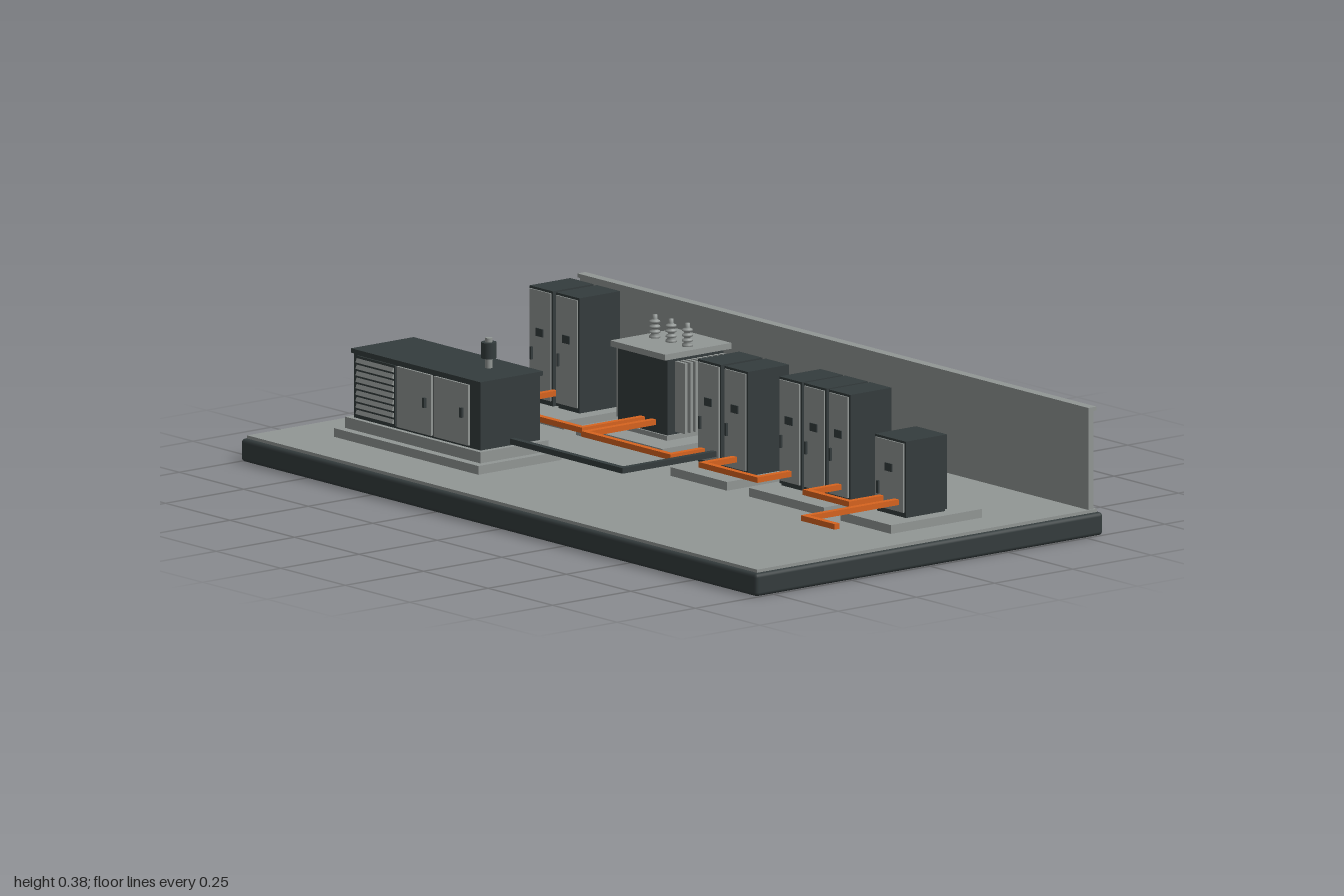
import * as THREE from 'three';
import { RoundedBoxGeometry } from 'three/addons/geometries/RoundedBoxGeometry.js';

const mat = (name, color) => {
  const m = new THREE.MeshStandardMaterial({ color });
  m.name = name;
  return m;
};

export function createModel() {
  const root = new THREE.Group();
  root.name = 'powerStation';
  const dark = mat('charcoal', 0x343c3d);
  const grey = mat('grey', 0x929795);
  const orange = mat('orange', 0xd8641f);

  const group = (name) => {
    const g = new THREE.Group();
    g.name = name;
    root.add(g);
    return g;
  };
  // Box given by its extents on each axis
  const box = (parent, name, m, x0, x1, y0, y1, z0, z1, radius = 0) => {
    const s = [x1 - x0, y1 - y0, z1 - z0];
    const geo = radius ? new RoundedBoxGeometry(...s, 2, radius) : new THREE.BoxGeometry(...s);
    const mesh = new THREE.Mesh(geo, m);
    mesh.position.set((x0 + x1) / 2, (y0 + y1) / 2, (z0 + z1) / 2);
    mesh.name = name;
    parent.add(mesh);
    return mesh;
  };
  const cylinder = (parent, name, m, x, z, y0, y1, r) => {
    const mesh = new THREE.Mesh(new THREE.CylinderGeometry(r, r, y1 - y0, 20), m);
    mesh.position.set(x, (y0 + y1) / 2, z);
    mesh.name = name;
    parent.add(mesh);
  };

  // Ground slab and rear wall
  const site = group('site');
  box(site, 'base', dark, -1, 1, 0, 0.058, -0.555, 0.555, 0.01);
  box(site, 'floor', grey, -0.988, 0.988, 0.05, 0.066, -0.543, 0.543);
  box(site, 'rearWall', grey, -0.985, 0.985, 0.06, 0.316, -0.535, -0.518);
  box(site, 'wallCap', grey, -0.99, 0.99, 0.315, 0.325, -0.54, -0.514);

  // Equipment pads
  const pads = group('pads');
  [
    [-0.805, -0.54, -0.4, -0.1],
    [-0.475, -0.14, -0.412, -0.085],
    [0.03, 0.25, -0.26, 0.03],
    [0.335, 0.625, -0.26, 0.03],
    [0.69, 0.885, -0.26, 0.03],
    [-0.84, -0.28, 0.122, 0.388],
  ].forEach(([x0, x1, z0, z1]) => box(pads, 'pad', grey, x0, x1, 0.064, 0.088, z0, z1));

  // Cabinets: dark shell, grey door, display, handle and vents
  const cabinet = (x0, x1, top, z0, z1) => {
    const g = group('cabinet');
    const w = x1 - x0, cx = (x0 + x1) / 2, h = top - 0.088;
    box(g, 'plinth', dark, x0 + 0.004, x1 - 0.004, 0.086, 0.1, z0 + 0.004, z1 - 0.004);
    box(g, 'shell', dark, x0, x1, 0.094, top, z0, z1);
    box(g, 'door', grey, x0 + 0.005, x1 - 0.005, 0.102, top - 0.006, z1 - 0.002, z1 + 0.004);
    const dy = 0.088 + h * 0.62;
    box(g, 'display', dark, cx - 0.014, cx + 0.014, dy - 0.01, dy + 0.01, z1 + 0.002, z1 + 0.007);
    box(g, 'handle', dark, x0 + w * 0.14, x0 + w * 0.2, dy - 0.072, dy - 0.04, z1 + 0.002, z1 + 0.01);
  };
  [[-0.77, -0.68], [-0.667, -0.577]].forEach(([a, b]) => cabinet(a, b, 0.38, -0.31, -0.18));
  [[0.045, 0.135], [0.148, 0.238]].forEach(([a, b]) => cabinet(a, b, 0.353, -0.178, -0.046));
  [[0.36, 0.447], [0.456, 0.543], [0.552, 0.635]].forEach(([a, b]) => cabinet(a, b, 0.363, -0.178, -0.046));
  cabinet(0.73, 0.85, 0.282, -0.178, -0.046);

  // Generator set
  const gen = group('generator');
  box(gen, 'skid', grey, -0.825, -0.3, 0.086, 0.116, 0.148, 0.365);
  box(gen, 'enclosure', dark, -0.805, -0.315, 0.114, 0.282, 0.162, 0.352);
  box(gen, 'roof', dark, -0.811, -0.309, 0.279, 0.29, 0.157, 0.357);
  box(gen, 'louvrePanel', dark, -0.79, -0.642, 0.122, 0.275, 0.35, 0.356);
  for (let i = 0; i < 9; i++) {
    const y = 0.133 + i * 0.0163;
    const slat = box(gen, 'louvre', grey, -0.787, -0.645, y - 0.0055, y + 0.0055, 0.355, 0.361);
    slat.rotation.x = -0.4;
  }
  [[-0.634, -0.5], [-0.49, -0.356]].forEach(([a, b]) => {
    box(gen, 'generatorDoor', grey, a, b, 0.122, 0.275, 0.35, 0.358);
    box(gen, 'doorHandle', dark, b - 0.026, b - 0.018, 0.19, 0.215, 0.356, 0.365);
  });
  cylinder(gen, 'exhaustPipe', grey, -0.425, 0.235, 0.285, 0.366, 0.009);
  cylinder(gen, 'silencer', dark, -0.425, 0.235, 0.315, 0.355, 0.019);

  // Transformer with side cooling fins and ribbed bushings
  const tr = group('transformer');
  box(tr, 'tank', dark, -0.4, -0.21, 0.098, 0.294, -0.338, -0.158);
  box(tr, 'tankFoot', grey, -0.405, -0.205, 0.086, 0.1, -0.343, -0.153);
  box(tr, 'lid', grey, -0.411, -0.199, 0.293, 0.308, -0.354, -0.142);
  for (let i = 0; i < 9; i++) {
    const z = -0.328 + i * 0.0175;
    for (const [a, b] of [[-0.437, -0.398], [-0.212, -0.173]])
      box(tr, 'coolingFin', grey, a, b, 0.106, 0.284, z - 0.0045, z + 0.0045);
  }
  for (const x of [-0.367, -0.304, -0.241]) {
    const profile = [[0, 0], [0.014, 0], [0.014, 0.007]];
    for (let i = 0; i < 3; i++) {
      const y = 0.012 + i * 0.013;
      profile.push([0.008, y], [0.014, y + 0.003], [0.013, y + 0.007], [0.008, y + 0.009]);
    }
    profile.push([0.006, 0.05], [0.006, 0.06], [0, 0.06]);
    const geo = new THREE.LatheGeometry(profile.map((p) => new THREE.Vector2(...p)), 16);
    const bushing = new THREE.Mesh(geo, grey);
    bushing.position.set(x, 0.306, -0.248);
    bushing.name = 'bushing';
    tr.add(bushing);
  }

  // Cable ducts: straight runs through (x, z) points
  const duct = (name, m, pts) => {
    const g = group(name);
    const r = 0.008;
    for (let i = 1; i < pts.length; i++) {
      const [ax, az] = pts[i - 1], [bx, bz] = pts[i];
      const alongX = az === bz;
      // runs along x fill the corners, runs along z stop against them
      const e = alongX ? r : 0;
      box(g, 'ductRun', m, Math.min(ax, bx) - (alongX ? e : r), Math.max(ax, bx) + (alongX ? e : r),
        0.119, 0.133, Math.min(az, bz) - (alongX ? r : 0), Math.max(az, bz) - (alongX ? -r : r));
    }
  };
  duct('powerDuct', orange, [[-0.67, -0.18], [-0.67, 0.035], [-0.305, 0.035], [-0.305, -0.16]]);
  duct('powerDuct', orange, [[-0.262, -0.16], [-0.262, 0.06], [0.068, 0.06], [0.068, -0.046]]);
  duct('generatorDuct', dark, [[-0.312, 0.25], [0.113, 0.25], [0.113, -0.046]]);
  duct('powerDuct', orange, [[0.193, -0.046], [0.193, 0.06], [0.405, 0.06], [0.405, -0.046]]);
  duct('powerDuct', orange, [[0.597, -0.046], [0.597, 0.06], [0.761, 0.06], [0.761, -0.046]]);
  duct('powerDuct', orange, [[0.82, -0.046], [0.82, 0.25], [0.935, 0.25]]);
  return root;
}
